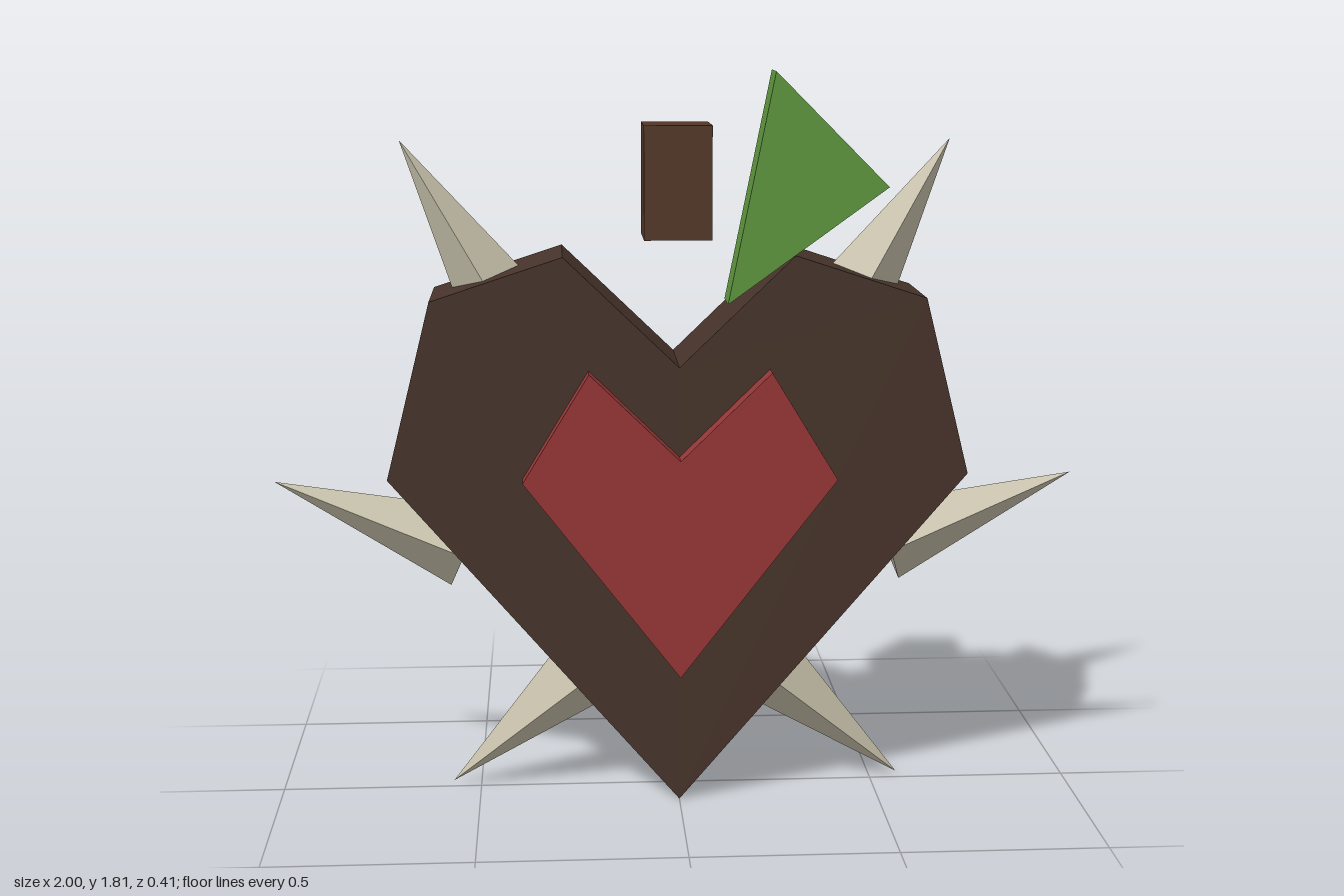
import * as THREE from 'three';

const mat = (color) => new THREE.MeshStandardMaterial({ color, flatShading: true });

// Flat outline extruded between two depths
function slab(name, points, zBack, zFront, material) {
  const shape = new THREE.Shape(points.map(([x, y]) => new THREE.Vector2(x, y)));
  const geometry = new THREE.ExtrudeGeometry(shape, { depth: zFront - zBack, bevelEnabled: false });
  geometry.translate(0, 0, zBack);
  const mesh = new THREE.Mesh(geometry, material);
  mesh.name = name;
  return mesh;
}

// Mirrors the right half (bottom tip, sides..., top notch) into a full heart
function heart(half) {
  const left = half.slice(1, -1).reverse().map(([x, y]) => [-x, y]);
  return [...half, ...left];
}

// Four-sided spike from its base centre to its tip
function spike(name, base, tip, material) {
  const a = new THREE.Vector3(base[0], base[1], -0.015);
  const b = new THREE.Vector3(tip[0], tip[1], -0.015);
  const mesh = new THREE.Mesh(new THREE.ConeGeometry(0.105, a.distanceTo(b), 4), material);
  mesh.position.copy(a).add(b).multiplyScalar(0.5);
  mesh.rotation.z = Math.atan2(b.y - a.y, b.x - a.x) - Math.PI / 2;
  mesh.name = name;
  return mesh;
}

export function createModel() {
  const model = new THREE.Group();
  model.name = 'spikedHeart';

  // Dark heart body and the red heart showing on both faces
  const body = heart([[0, 0], [0.71, 0.83], [0.6, 1.265], [0.28, 1.37], [0, 1.1]]);
  model.add(slab('body', body, -0.15, 0.122, mat(0x46332a)));
  const core = heart([[0, 0.335], [0.382, 0.83], [0.22, 1.095], [0, 0.88]]);
  model.add(slab('innerHeart', core, -0.207, 0.178, mat(0x963636)));

  // Floating stem and leaf
  const stem = new THREE.Mesh(new THREE.BoxGeometry(0.165, 0.275, 0.165), mat(0x533626));
  stem.position.set(0, 1.54, -0.013);
  stem.name = 'stem';
  model.add(stem);
  model.add(slab('leaf', [[0.11, 1.265], [0.49, 1.54], [0.22, 1.81]], 0.098, 0.205, mat(0x5f963e)));

  // Three spikes on each side
  const bone = mat(0xc2bca6);
  const spikes = {
    upperSpike: [[0.42, 1.22], [0.67, 1.64]],
    middleSpike: [[0.53, 0.627], [0.998, 0.8]],
    lowerSpike: [[0.198, 0.329], [0.57, 0.01]],
  };
  for (const [name, [base, tip]] of Object.entries(spikes)) {
    for (const [side, s] of [['Left', 1], ['Right', -1]]) {
      model.add(spike(name + side, [s * base[0], base[1]], [s * tip[0], tip[1]], bone));
    }
  }
  return model;
}
